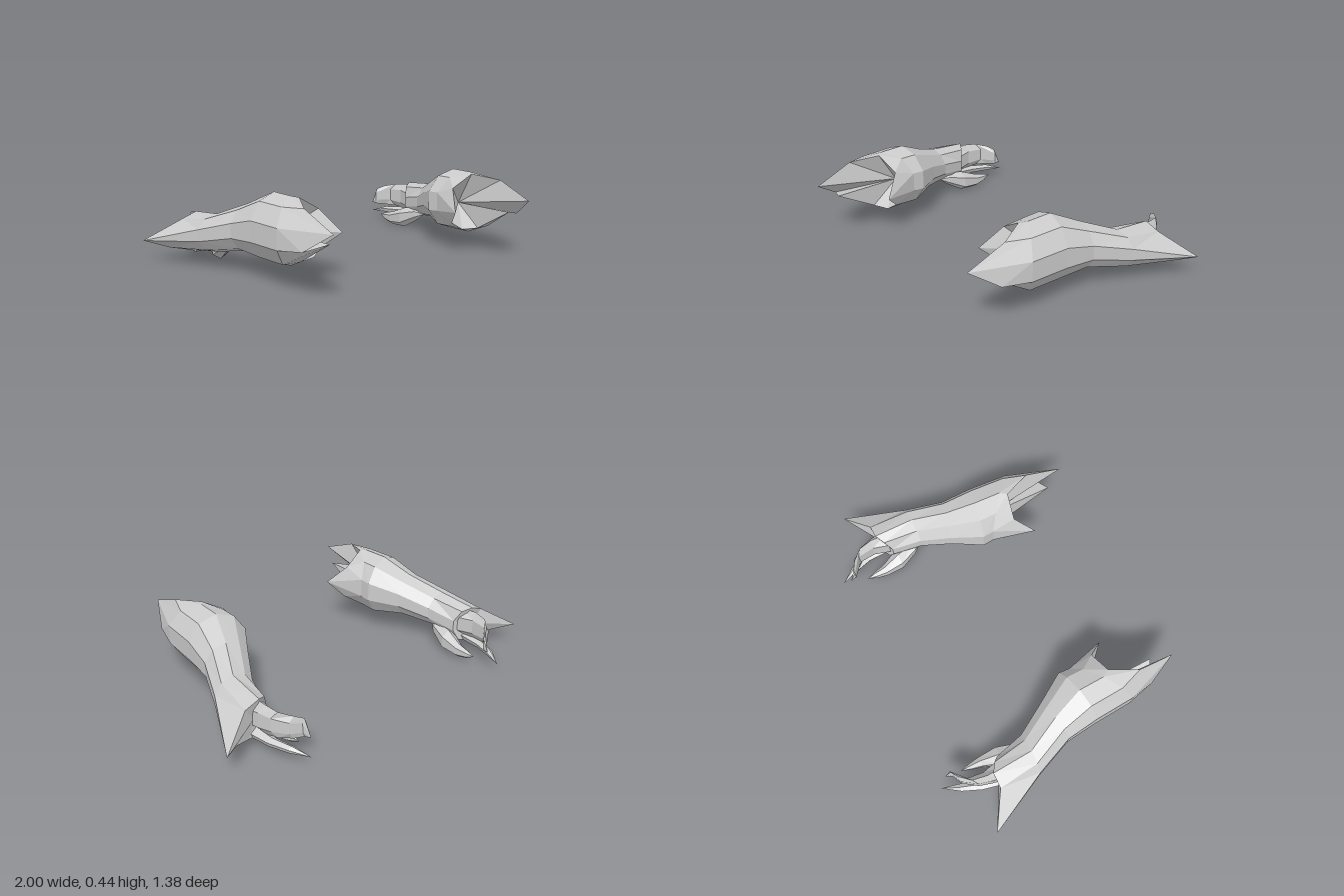
import * as THREE from 'three';

const material = new THREE.MeshStandardMaterial({ color: 0xcccccc, flatShading: true, side: THREE.DoubleSide });

// Elliptical cross-section, clockwise from the top; tilt pushes z along x.
function ring(cx, cy, cz, rx, ry, tilt = 0, n = 10) {
  return Array.from({ length: n }, (_, i) => {
    const a = (i / n) * Math.PI * 2;
    const dx = Math.sin(a) * rx;
    return [cx + dx, cy + Math.cos(a) * ry, cz + dx * tilt];
  });
}

// Skin over rings ordered front to back, closed by a fan at each end; side -1 mirrors it.
function loft(name, rings, frontApex, backApex, side) {
  const pos = [];
  const tri = (a, b, c) => {
    for (const p of side > 0 ? [a, b, c] : [a, c, b]) pos.push(p[0] * side, p[1], p[2]);
  };
  const n = rings[0].length;
  const last = rings[rings.length - 1];
  for (let i = 0; i < n; i++) {
    const k = (i + 1) % n;
    tri(frontApex, rings[0][k], rings[0][i]);
    for (let j = 0; j < rings.length - 1; j++) {
      const a = rings[j], b = rings[j + 1];
      tri(a[i], a[k], b[i]);
      tri(a[k], b[k], b[i]);
    }
    tri(backApex, last[i], last[k]);
  }
  const geo = new THREE.BufferGeometry();
  geo.setAttribute('position', new THREE.Float32BufferAttribute(pos, 3));
  geo.computeVertexNormals();
  const mesh = new THREE.Mesh(geo, material);
  mesh.name = name;
  return mesh;
}

function createArm(side) {
  const arm = new THREE.Group();
  arm.name = side > 0 ? 'leftGauntlet' : 'rightGauntlet';

  // Jagged elbow rim: long outer point, lower flap and inner spike
  const elbowRim = [
    [0.56, 0.43, 0.32], [0.63, 0.41, 0.47], [0.62, 0.33, 0.685], [0.69, 0.23, 0.54],
    [0.575, 0.26, 0.59], [0.58, 0.13, 0.36], [0.49, 0.13, 0.33], [0.43, 0.17, 0.31],
    [0.37, 0.25, 0.40], [0.44, 0.36, 0.30],
  ];
  // Wrist rim with the swept-back outer spike
  const wristRim = [
    [0.74, 0.26, -0.42], [0.82, 0.23, -0.42], [1.0, 0.115, -0.53], [0.89, 0.08, -0.44],
    [0.80, 0.06, -0.41], [0.74, 0.05, -0.40], [0.69, 0.06, -0.38], [0.66, 0.12, -0.36],
    [0.66, 0.18, -0.36], [0.69, 0.24, -0.39],
  ];
  // Forearm shell, hollow at the elbow
  arm.add(loft('forearm', [
    elbowRim,
    ring(0.585, 0.265, 0.28, 0.15, 0.17, 0.75),
    ring(0.59, 0.262, 0.14, 0.16, 0.172, 0.2),
    ring(0.645, 0.235, -0.02, 0.12, 0.122, 0.2),
    ring(0.73, 0.183, -0.2, 0.115, 0.1),
    wristRim,
  ], [0.58, 0.25, 0.2], [0.76, 0.15, -0.40], side));

  // Curled fingers hooking inward
  arm.add(loft('fingers', [
    ring(0.73, 0.16, -0.37, 0.055, 0.08, 0, 6),
    ring(0.735, 0.165, -0.45, 0.035, 0.08, 0.3, 6),
    ring(0.72, 0.165, -0.53, 0.03, 0.07, 0.8, 6),
    ring(0.67, 0.16, -0.585, 0.03, 0.06, 0.2, 6),
    ring(0.63, 0.155, -0.61, 0.012, 0.05, 0, 6),
  ], [0.73, 0.16, -0.34], [0.62, 0.11, -0.645], side));

  // Slender claw below the fingers
  arm.add(loft('claw', [
    ring(0.75, 0.075, -0.38, 0.045, 0.03, 0, 5),
    ring(0.735, 0.065, -0.5, 0.03, 0.022, 0, 5),
    ring(0.70, 0.06, -0.6, 0.022, 0.018, 0, 5),
  ], [0.75, 0.09, -0.34], [0.655, 0.045, -0.69], side));

  // Thumb hanging under the wrist
  arm.add(loft('thumb', [
    ring(0.665, 0.095, -0.24, 0.04, 0.035, 0, 6),
    ring(0.645, 0.06, -0.34, 0.055, 0.06, 0, 6),
    ring(0.625, 0.04, -0.44, 0.03, 0.04, 0, 6),
    ring(0.622, 0.04, -0.5, 0.018, 0.025, 0, 6),
  ], [0.67, 0.1, -0.19], [0.62, 0.045, -0.555], side));

  return arm;
}

export function createModel() {
  const model = new THREE.Group();
  model.name = 'pairOfGauntlets';
  for (const side of [1, -1]) model.add(createArm(side));
  return model;
}
